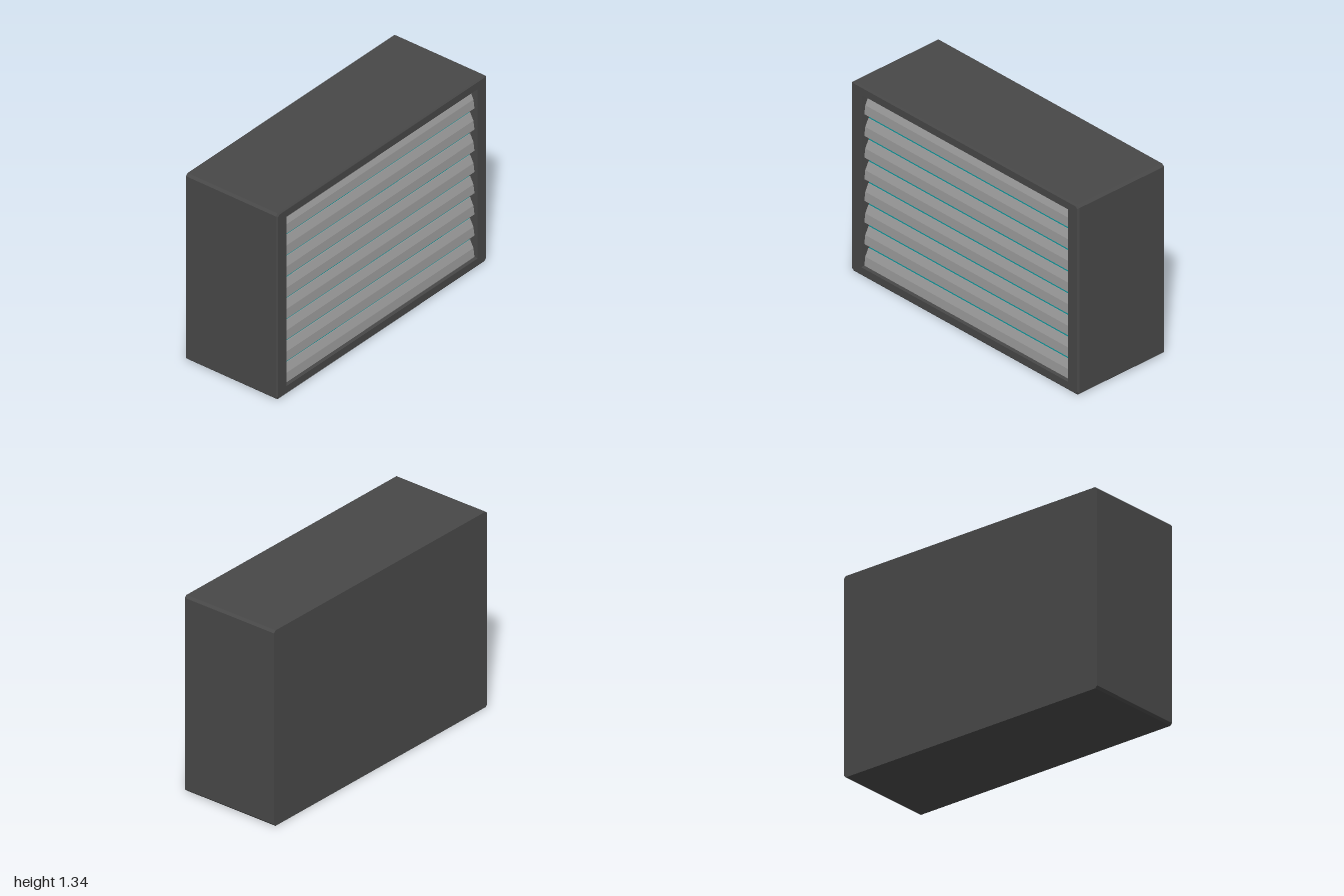
import * as THREE from 'three';

const frameMat = new THREE.MeshStandardMaterial({ color: 0x484848 });
frameMat.name = 'charcoal casing';
const slatMat = new THREE.MeshStandardMaterial({ color: 0x969696 });
slatMat.name = 'grey slat';
const tealMat = new THREE.MeshStandardMaterial({ color: 0x0a8488 });
tealMat.name = 'teal trim';

const MID_Y = 0.67;
const OPEN_W = 0.91, OPEN_H = 0.61;

// Rectangle with cut corners, counter-clockwise seen from the front
function ring(w, h, c, z) {
  return [[w, -h + c], [w, h - c], [w - c, h], [-w + c, h],
    [-w, h - c], [-w, -h + c], [-w + c, -h], [w - c, -h]]
    .map(([x, y]) => [x, y + MID_Y, z]);
}

// Skin a row of rings, closing the first one with a flat cap
function skin(rings) {
  const pos = [];
  const tri = (a, b, c) => pos.push(...a, ...b, ...c);
  for (let r = 0; r < rings.length - 1; r++) {
    const a = rings[r], b = rings[r + 1];
    for (let i = 0; i < 8; i++) {
      const j = (i + 1) % 8;
      tri(a[i], a[j], b[j]);
      tri(a[i], b[j], b[i]);
    }
  }
  for (let i = 1; i < 7; i++) tri(rings[0][0], rings[0][i + 1], rings[0][i]);
  const g = new THREE.BufferGeometry();
  g.setAttribute('position', new THREE.Float32BufferAttribute(pos, 3));
  g.computeVertexNormals();
  return g;
}

// Extrude a (z, y) profile across the opening
function bar(points) {
  const shape = new THREE.Shape(points.map(([z, y]) => new THREE.Vector2(-z, y)));
  const g = new THREE.ExtrudeGeometry(shape, { depth: OPEN_W * 2, bevelEnabled: false });
  g.rotateY(Math.PI / 2);
  g.translate(-OPEN_W, 0, 0);
  return g;
}

function add(parent, name, geometry, material) {
  const mesh = new THREE.Mesh(geometry, material);
  mesh.name = name;
  parent.add(mesh);
  return mesh;
}

export function createModel() {
  const model = new THREE.Group();
  model.name = 'louvredCabinet';

  // Casing with chamfered edges and a recessed opening
  add(model, 'casing', skin([
    ring(1, MID_Y, 0.015, -0.355),
    ring(1, MID_Y, 0.015, 0.347),
    ring(0.99, MID_Y - 0.01, 0.013, 0.355),
    ring(OPEN_W, OPEN_H, 0.001, 0.355),
    ring(OPEN_W, OPEN_H, 0.001, 0.24),
  ]), frameMat);

  // Panel behind the slats
  const panel = add(model, 'backPanel', new THREE.PlaneGeometry(OPEN_W * 2, OPEN_H * 2), frameMat);
  panel.position.set(0, MID_Y, 0.25);

  // Sloped underside at the top of the opening
  add(model, 'lintel', bar([[0.25, 1.25], [0.33, 1.279], [0.25, 1.279]]), frameMat);

  // Bent slats, each with a teal strip along its top edge
  const slat = bar([[0.255, 0], [0.33, 0], [0.322, 0.06], [0.297, 0.11], [0.255, 0.11]]);
  const strip = bar([[0.255, 0.11], [0.292, 0.11], [0.282, 0.127], [0.255, 0.127]]);
  for (let i = 0; i < 8; i++) {
    const louvre = new THREE.Group();
    louvre.name = 'louvre' + (i + 1);
    louvre.position.y = 0.061 + i * 0.153;
    add(louvre, 'slat', slat, slatMat);
    add(louvre, 'trimStrip', strip, tealMat);
    model.add(louvre);
  }
  return model;
}
